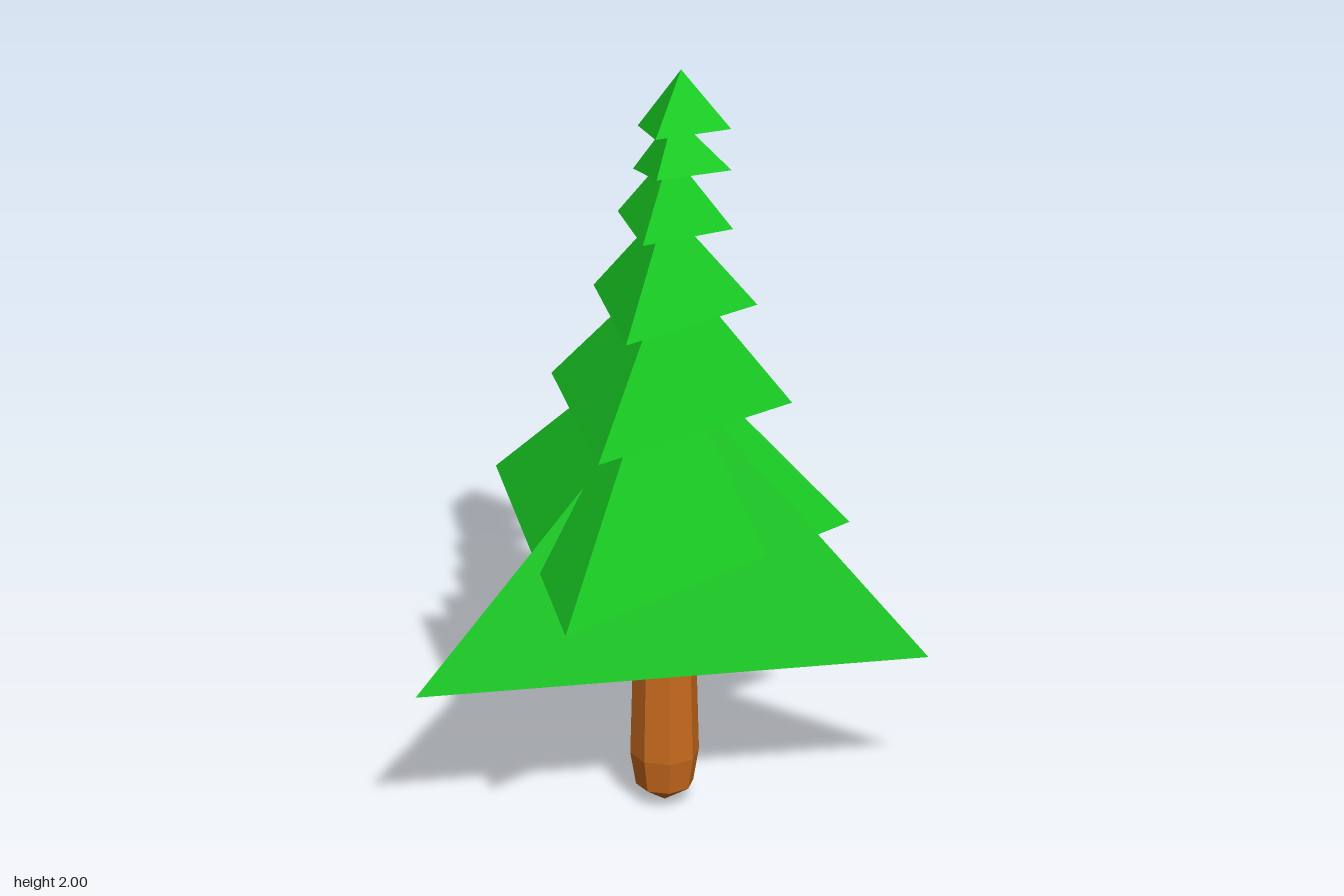
import * as THREE from 'three';

// Each foliage tier is a leaning three-sided pyramid: left, front, back corner, then apex
const TIERS = [
  [[-0.56, 0.41, -0.29], [-0.165, 0.41, 0.567], [0.56, 0.41, -0.57], [0.12, 1.23, -0.08]],
  [[-0.56, 0.72, -0.08], [0.295, 0.72, 0.463], [0.302, 0.72, -0.53], [0.095, 1.34, -0.06]],
  [[-0.348, 1.065, -0.08], [0.235, 1.135, 0.293], [0.24, 1.09, -0.385], [0.11, 1.56, -0.08]],
  [[-0.225, 1.352, -0.115], [0.172, 1.405, 0.137], [0.175, 1.37, -0.323], [0.065, 1.69, -0.105]],
  [[-0.16, 1.58, -0.14], [0.12, 1.638, 0.03], [0.123, 1.582, -0.285], [0.03, 1.82, -0.15]],
  [[-0.145, 1.695, -0.18], [0.075, 1.78, -0.06], [0.085, 1.728, -0.315], [0, 1.9, -0.19]],
  [[-0.165, 1.8, -0.215], [0.055, 1.885, -0.075], [0.062, 1.832, -0.335], [-0.032, 2, -0.245]],
];

function pyramid([a, b, c, top]) {
  const faces = [a, b, top, b, c, top, c, a, top, a, c, b];
  const geometry = new THREE.BufferGeometry();
  geometry.setAttribute('position', new THREE.Float32BufferAttribute(faces.flat(), 3));
  geometry.computeVertexNormals();
  return geometry;
}

export function createModel() {
  const tree = new THREE.Group();
  tree.name = 'pineTree';
  const green = new THREE.MeshStandardMaterial({ color: 0x19d124, flatShading: true });
  const brown = new THREE.MeshStandardMaterial({ color: 0xc86a1e, flatShading: true });

  // Faceted trunk, narrowing to a blunt point at the bottom
  const profile = [[0, 0], [0.075, 0.05], [0.09, 0.14], [0.083, 0.42], [0.07, 0.5], [0, 0.52]]
    .map(([r, y]) => new THREE.Vector2(r, y));
  const trunk = new THREE.Mesh(new THREE.LatheGeometry(profile, 8, 0.2), brown);
  trunk.name = 'trunk';
  trunk.position.set(0.095, 0, -0.07);
  tree.add(trunk);

  // Stacked foliage
  TIERS.forEach((corners, i) => {
    const tier = new THREE.Mesh(pyramid(corners), green);
    tier.name = `foliageTier${i + 1}`;
    tree.add(tier);
  });
  return tree;
}
